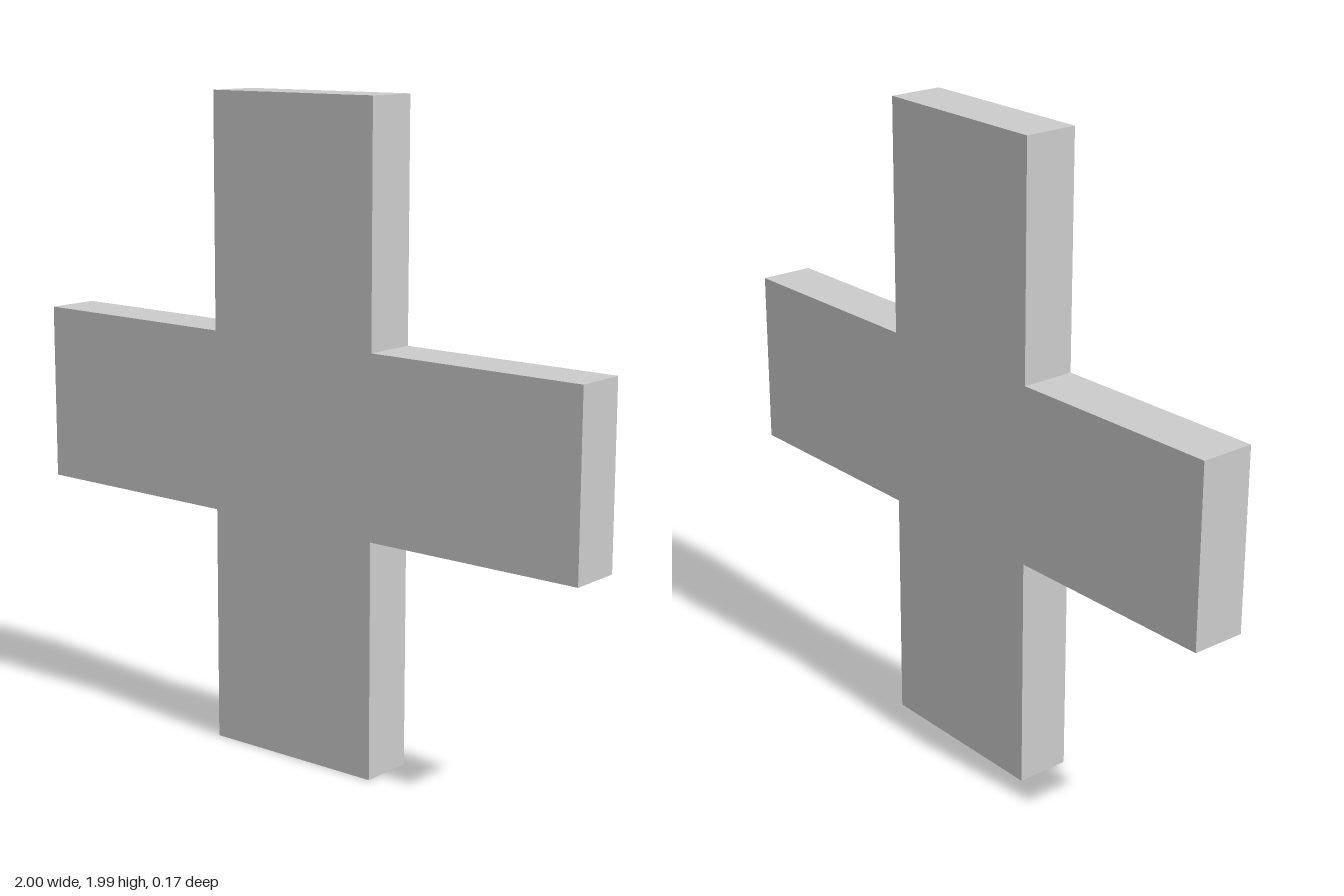
import * as THREE from 'three';

// Flat cross plate; the crossbar tilts very slightly down toward +x.
export function createModel() {
  const group = new THREE.Group();
  const depth = 0.17, height = 1.99, halfPost = 0.297;
  const barTop = (x) => 1.275 - 0.009 * x;
  const barBottom = (x) => 0.724 - 0.007 * x;

  // Outline, counter-clockwise from the foot
  const outline = [
    [-halfPost, 0], [halfPost, 0],
    [halfPost, barBottom(halfPost)], [1, barBottom(1)],
    [1, barTop(1)], [halfPost, barTop(halfPost)],
    [halfPost, height], [-halfPost, height],
    [-halfPost, barTop(-halfPost)], [-1, barTop(-1)],
    [-1, barBottom(-1)], [-halfPost, barBottom(-halfPost)],
  ].map(([x, y]) => new THREE.Vector2(x, y));

  const geometry = new THREE.ExtrudeGeometry(new THREE.Shape(outline), { depth, bevelEnabled: false });
  geometry.translate(0, 0, -depth / 2);

  const cross = new THREE.Mesh(
    geometry,
    new THREE.MeshStandardMaterial({ color: 0xcccccc, flatShading: true })
  );
  cross.name = 'crossPlate';
  group.add(cross);
  return group;
}
